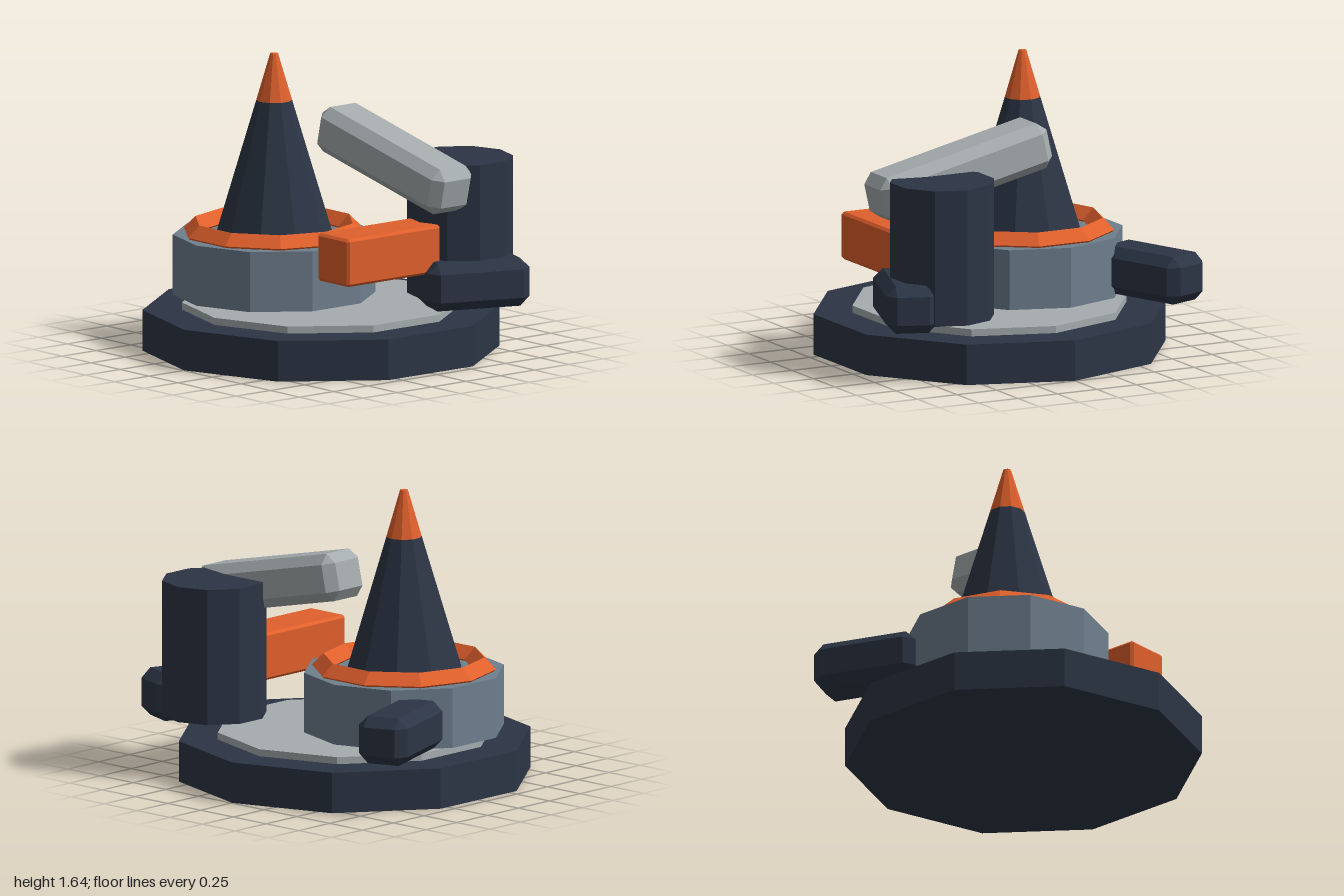
import * as THREE from 'three';
import { ConvexGeometry } from 'three/addons/geometries/ConvexGeometry.js';

const paint = (color) => new THREE.MeshStandardMaterial({ color, flatShading: true });

export function createModel() {
  const model = new THREE.Group();
  const navy = paint(0x2c3545), orange = paint(0xe0602c);
  const slate = paint(0x6f7f8e), grey = paint(0xa6adaf);

  function add(name, geometry, material, x, y, z) {
    const mesh = new THREE.Mesh(geometry, material);
    mesh.name = name;
    mesh.position.set(x, y, z);
    model.add(mesh);
    return mesh;
  }

  // Ten-sided drum or cone between two heights
  function drum(name, material, x, z, y0, y1, rBottom, rTop = rBottom) {
    const geometry = new THREE.CylinderGeometry(rTop, rBottom, y1 - y0, 10);
    return add(name, geometry, material, x, (y0 + y1) / 2, z);
  }

  // Box whose edges and corners are cut by a single flat bevel
  function bevelBox(w, h, d, c) {
    const points = [];
    for (const sx of [-1, 1]) for (const sy of [-1, 1]) for (const sz of [-1, 1]) {
      for (const [a, b, e] of [[0, c, c], [c, 0, c], [c, c, 0]]) {
        points.push(new THREE.Vector3(sx * (w / 2 - a), sy * (h / 2 - b), sz * (d / 2 - e)));
      }
    }
    return new ConvexGeometry(points);
  }

  // Base
  drum('base', navy, 0, 0, 0, 0.23, 0.995);
  drum('deckPlate', grey, 0, 0, 0.23, 0.27, 0.775);

  // Turret with its ring and tipped cone
  const tx = -0.27, tz = 0.112;
  drum('turretDrum', slate, tx, tz, 0.285, 0.625, 0.565);
  const ring = new THREE.TorusGeometry(0.45, 0.066, 4, 10).rotateX(Math.PI / 2);
  add('turretRing', ring, orange, tx, 0.635, tz);
  drum('cone', navy, tx, tz, 0.61, 1.38, 0.33, 0.1);
  drum('coneTip', orange, tx, tz, 1.38, 1.645, 0.1, 0.022);

  // Tower with the sloping arm and the forward block
  drum('tower', navy, 0.583, -0.52, 0.34, 1.11, 0.295);
  add('arm', bevelBox(1.08, 0.268, 0.295, 0.055), grey, 0.335, 1.092, -0.252).rotation.z = -0.222;
  add('forwardBlock', bevelBox(0.27, 0.27, 0.68, 0.015), orange, 0.585, 0.637, 0.07);

  // Splayed pods at the back
  for (const side of [-1, 1]) {
    const pod = add(side > 0 ? 'leftPod' : 'rightPod', bevelBox(0.295, 0.27, 0.6, 0.055),
      navy, side * 0.777, 0.435, -0.453);
    pod.rotation.y = -side * 0.349;
  }

  return model;
}
